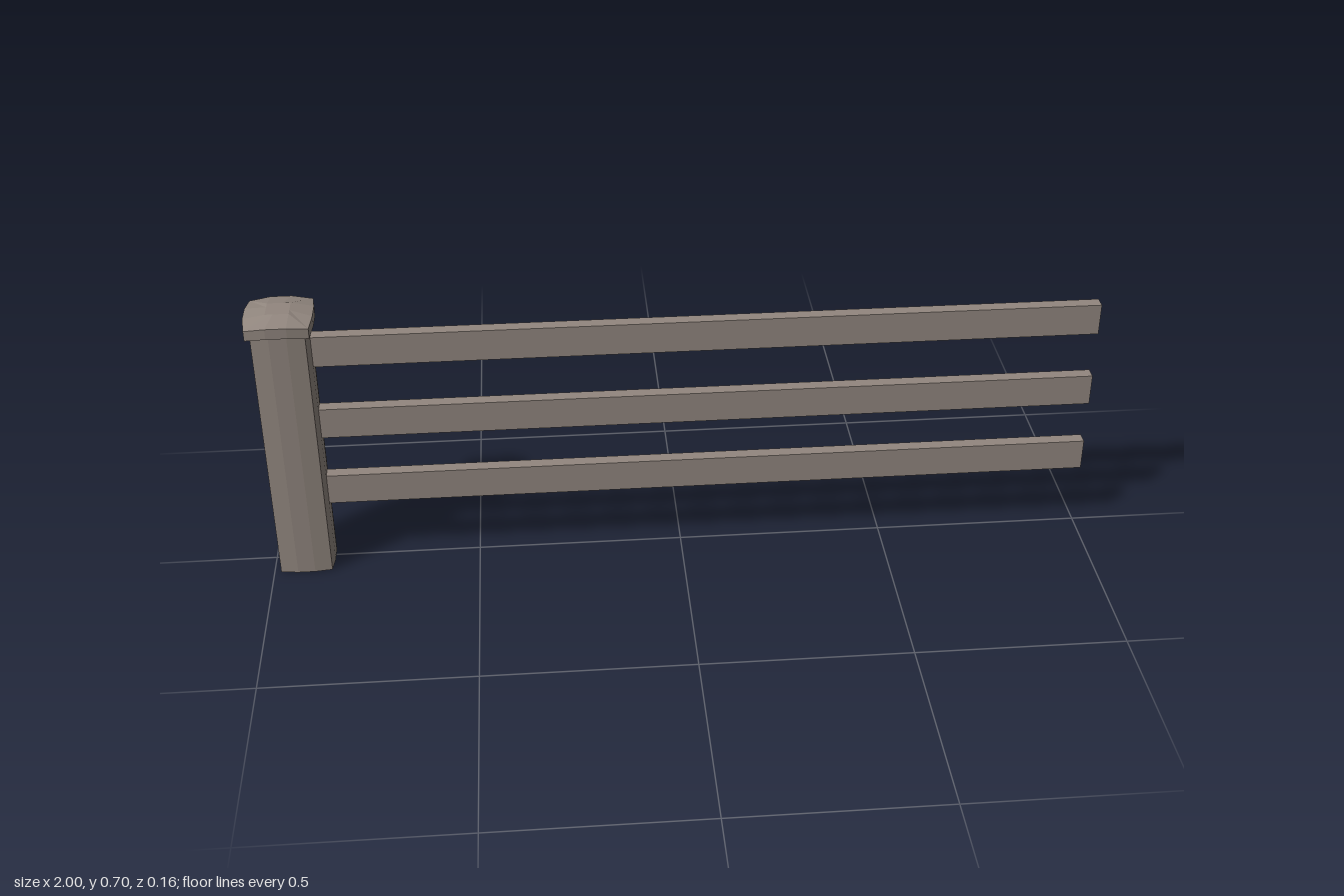
import * as THREE from 'three';

const POST_X = -0.922;

// Square ring with slightly bowed sides: half width, height, side bow, lift of the side middles
function ring([half, y, bow, lift]) {
  const points = [];
  for (let side = 0; side < 4; side++) {
    for (let j = 0; j < 3; j++) {
      const x = half + (j ? bow : 0);
      const z = half - (2 * half * j) / 3;
      const p = new THREE.Vector3(x, y + (j ? lift : 0), z);
      points.push(p.applyAxisAngle(new THREE.Vector3(0, 1, 0), (side * Math.PI) / 2));
    }
  }
  return points;
}

// Closed solid through a stack of rings, bottom to top
function loft(profile) {
  const rings = profile.map(ring);
  const positions = [];
  const tri = (...corners) => corners.forEach((p) => positions.push(p.x, p.y, p.z));
  const n = rings[0].length;
  const first = rings[0];
  const last = rings[rings.length - 1];
  const bottom = new THREE.Vector3(0, profile[0][1], 0);
  const top = new THREE.Vector3(0, profile[profile.length - 1][1], 0);
  for (let i = 0; i < n; i++) {
    const k = (i + 1) % n;
    for (let r = 0; r < rings.length - 1; r++) {
      const low = rings[r];
      const high = rings[r + 1];
      tri(low[i], low[k], high[k]);
      tri(low[i], high[k], high[i]);
    }
    tri(bottom, first[k], first[i]);
    tri(top, last[i], last[k]);
  }
  const geometry = new THREE.BufferGeometry();
  geometry.setAttribute('position', new THREE.Float32BufferAttribute(positions, 3));
  geometry.computeVertexNormals();
  return geometry;
}

export function createModel() {
  const group = new THREE.Group();
  group.name = 'fenceSection';
  const wood = new THREE.MeshStandardMaterial({ color: 0x92877f, flatShading: true });
  wood.name = 'weatheredWood';

  const add = (name, geometry, x, y) => {
    const mesh = new THREE.Mesh(geometry, wood);
    mesh.name = name;
    mesh.position.set(x, y, 0);
    group.add(mesh);
  };

  // Post with bowed sides
  add('post', loft([[0.062, 0, 0.005, 0], [0.062, 0.655, 0.005, 0]]), POST_X, 0);

  // Cap: chamfered underside, upright rim, shallow dome
  add('postCap', loft([
    [0.062, 0.651, 0.005, 0.005],
    [0.073, 0.655, 0.006, 0.005],
    [0.073, 0.68, 0.006, 0.006],
    [0.027, 0.696, 0, 0],
  ]), POST_X, 0);

  // Three rails running out of the post
  const railStart = -0.87;
  const railLength = 1 - railStart;
  [0.204, 0.391, 0.586].forEach((y, i) => {
    add(`rail${i + 1}`, new THREE.BoxGeometry(railLength, 0.078, 0.031), railStart + railLength / 2, y);
  });

  return group;
}
